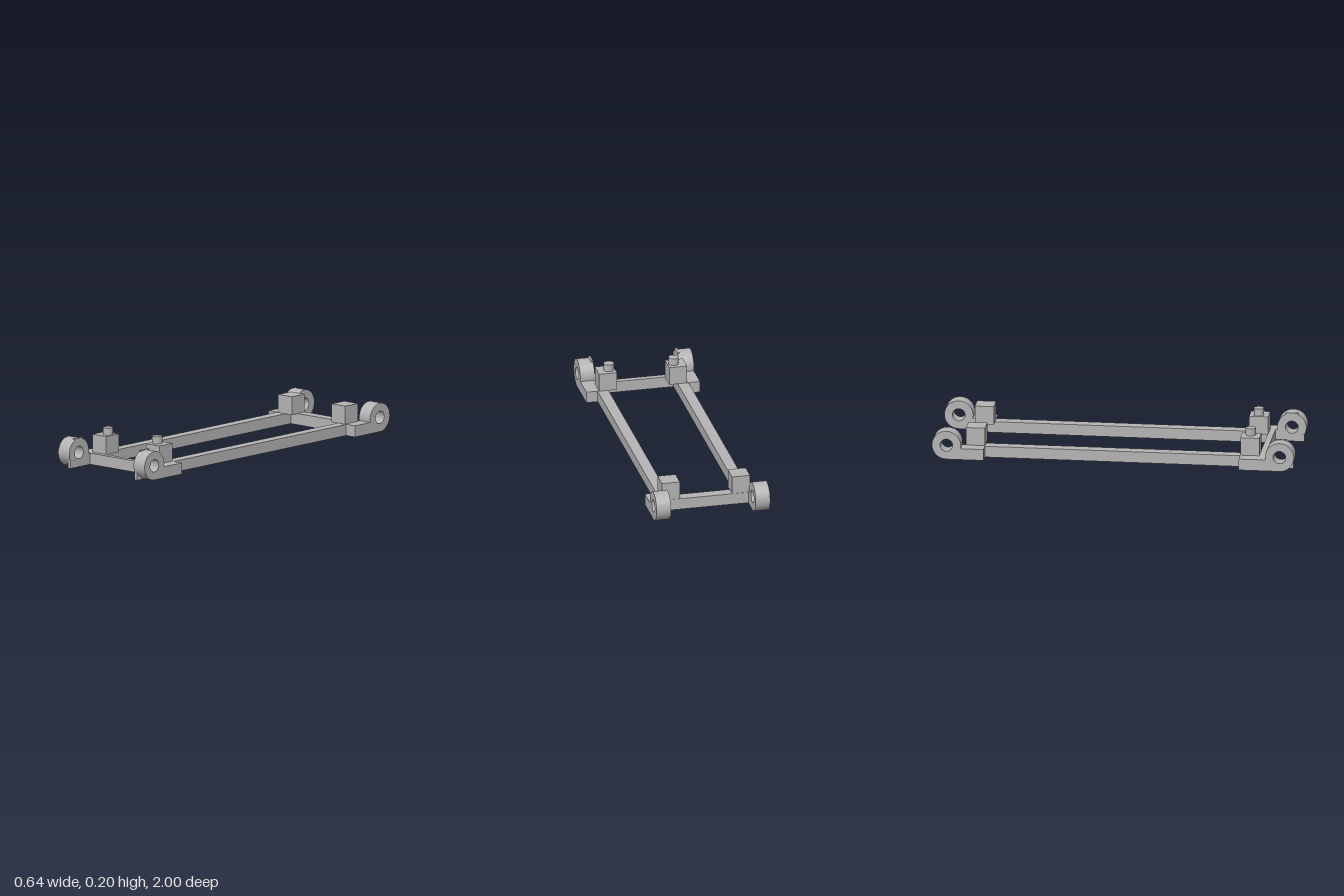
import * as THREE from 'three';
import { toCreasedNormals } from 'three/addons/utils/BufferGeometryUtils.js';

export function createModel() {
  const group = new THREE.Group();
  const grey = new THREE.MeshStandardMaterial({ color: 0xb4b4b4 });
  grey.name = 'light grey';

  const add = (name, geometry) => {
    const mesh = new THREE.Mesh(geometry, grey);
    mesh.name = name;
    group.add(mesh);
  };
  // Box given by its limits on each axis
  const box = (name, x0, x1, y0, y1, z0, z1) => {
    const g = new THREE.BoxGeometry(Math.abs(x1 - x0), y1 - y0, Math.abs(z1 - z0));
    g.translate((x0 + x1) / 2, (y0 + y1) / 2, (z0 + z1) / 2);
    add(name, g);
  };

  const barTop = 0.063, blockTop = 0.163;
  const eyeZ = 0.92, eyeR = 0.08, holeR = 0.035, inner = 0.238, outer = 0.32;

  // Foot and hinge eye in one side profile
  const lugGeometry = (startZ) => {
    const s = new THREE.Shape();
    s.moveTo(startZ, 0);
    s.lineTo(eyeZ, 0);
    const end = Math.PI + Math.asin((eyeR - barTop) / eyeR);
    s.absarc(eyeZ, eyeR, eyeR, -Math.PI / 2, end, false);
    s.lineTo(startZ, barTop);
    s.closePath();
    const hole = new THREE.Path();
    hole.absarc(eyeZ, eyeR, holeR, 0, Math.PI * 2, true);
    s.holes.push(hole);
    const g = new THREE.ExtrudeGeometry(s, { depth: outer - inner, bevelEnabled: false, curveSegments: 40 });
    return toCreasedNormals(g, 0.5);
  };

  // Cross bars
  box('frontCrossbar', -0.239, 0.239, 0, barTop, 0.798, 0.83);
  box('rearCrossbar', -0.239, 0.239, 0, barTop, -0.822, -0.76);

  for (const side of [-1, 1]) {
    const label = side > 0 ? 'left' : 'right';
    box(label + 'Rail', side * 0.195, side * 0.256, 0, barTop - 0.001, -0.818, 0.815);
    box(label + 'FrontBlock', side * 0.147, side * 0.248, barTop - 0.002, blockTop, 0.695, 0.8);
    box(label + 'RearBlock', side * 0.147, side * 0.248, barTop - 0.002, blockTop, -0.82, -0.715);

    // Round peg on the front block
    const peg = new THREE.CylinderGeometry(0.028, 0.028, 0.045, 40);
    peg.translate(side * 0.182, 0.1805, 0.745);
    add(label + 'Peg', peg);

    // Hinge lugs at both ends
    for (const end of [-1, 1]) {
      const g = lugGeometry(end > 0 ? 0.695 : 0.715);
      g.rotateY(-end * Math.PI / 2);
      g.translate(side * end > 0 ? side * outer : side * inner, 0, 0);
      add(label + (end > 0 ? 'FrontLug' : 'RearLug'), g);
    }

    // Stop fin and small top ridge on the front eye
    box(label + 'StopFin', side * 0.2375, side * 0.256, 0, 0.042, 0.92, 0.99);
    box(label + 'EyeRidge', side * 0.2375, side * 0.25, 0.155, 0.161, 0.885, 0.955);
  }
  return group;
}
